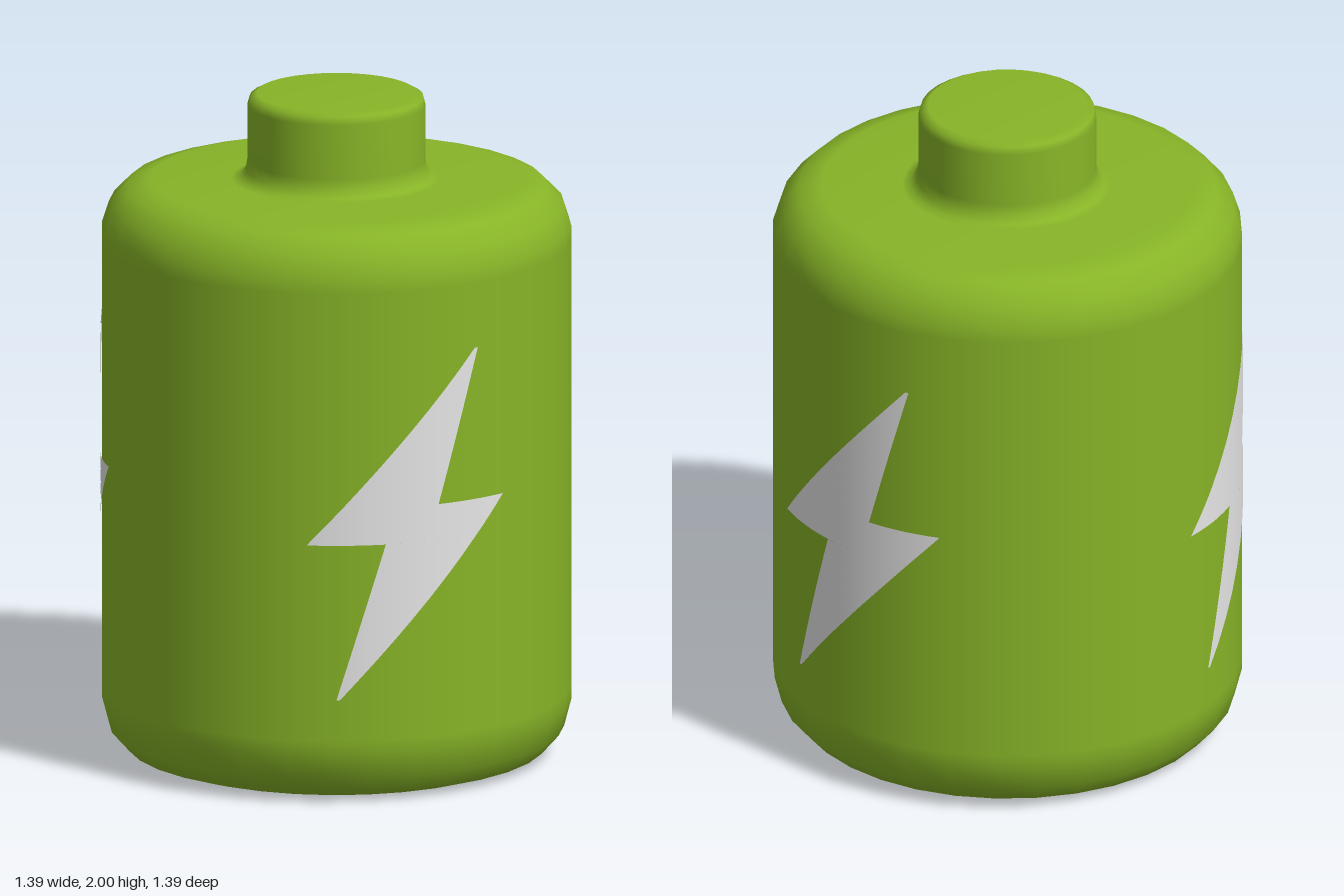
import * as THREE from 'three';

const RADIUS = 0.693;
const SIDES = 32;

// Curved band between two heights; left and right edges given as angles at bottom and top
function wrappedBand([y0, l0, r0], [y1, l1, r1], radius) {
  const cols = 14, rows = 8;
  const geo = new THREE.PlaneGeometry(1, 1, cols, rows);
  const pos = geo.attributes.position, nor = geo.attributes.normal;
  for (let i = 0; i < pos.count; i++) {
    const u = pos.getX(i) + 0.5, v = pos.getY(i) + 0.5;
    const a = THREE.MathUtils.lerp(
      THREE.MathUtils.lerp(l0, l1, v), THREE.MathUtils.lerp(r0, r1, v), u);
    pos.setXYZ(i, Math.sin(a) * radius, THREE.MathUtils.lerp(y0, y1, v), Math.cos(a) * radius);
    nor.setXYZ(i, Math.sin(a), 0, Math.cos(a));
  }
  return geo;
}

export function createModel() {
  const green = new THREE.MeshStandardMaterial({ color: 0x87b427 });
  green.name = 'leaf green';
  const white = new THREE.MeshStandardMaterial({ color: 0xe6e6e6 });
  white.name = 'pale white';

  const model = new THREE.Group();
  model.name = 'battery';

  // Casing and terminal turned as one smooth profile
  const profile = [
    [0, 0], [0.3, 0], [0.55, 0], [0.62, 0.022], [0.672, 0.08], [RADIUS, 0.16],
    [RADIUS, 0.2], [RADIUS, 1.56], [RADIUS, 1.6], [0.672, 1.665], [0.62, 1.718], [0.55, 1.738],
    [0.31, 1.74], [0.285, 1.747], [0.268, 1.77], [0.263, 1.8],
    [0.263, 1.965], [0.257, 1.988], [0.235, 2], [0, 2],
  ].map(([r, y]) => new THREE.Vector2(r, y));
  const casing = new THREE.Mesh(new THREE.LatheGeometry(profile, SIDES), green);
  casing.name = 'casing';
  model.add(casing);

  // Bolt outline heights and x positions, turned into angles around the casing
  const angle = x => Math.asin(x / RADIUS);
  const tipTop = angle(0.19), notchRight = angle(0.058), tipRight = angle(0.282);
  const tipBottom = angle(-0.247), notchLeft = angle(-0.106), tipLeft = angle(-0.327);
  const yBottom = 0.325, yLow = 0.795, yHigh = 0.905, yTop = 1.365;
  const leftHigh = THREE.MathUtils.mapLinear(yHigh, yLow, yTop, tipLeft, tipTop);
  const rightLow = THREE.MathUtils.mapLinear(yLow, yBottom, yHigh, tipBottom, tipRight);
  const bands = [
    [[yBottom, tipBottom, tipBottom + 0.015], [yLow, notchLeft, rightLow]],
    [[yLow, tipLeft, rightLow], [yHigh, leftHigh, tipRight]],
    [[yHigh, leftHigh, notchRight], [yTop, tipTop - 0.015, tipTop]],
  ].map(([low, high]) => wrappedBand(low, high, RADIUS + 0.003));

  // Three bolts evenly spaced around the casing
  for (let i = 0; i < 3; i++) {
    const bolt = new THREE.Group();
    bolt.name = 'lightningBolt' + (i + 1);
    bands.forEach((geo, j) => {
      const part = new THREE.Mesh(geo, white);
      part.name = ['boltLower', 'boltMiddle', 'boltUpper'][j];
      bolt.add(part);
    });
    bolt.rotation.y = i * Math.PI * 2 / 3;
    model.add(bolt);
  }
  return model;
}
